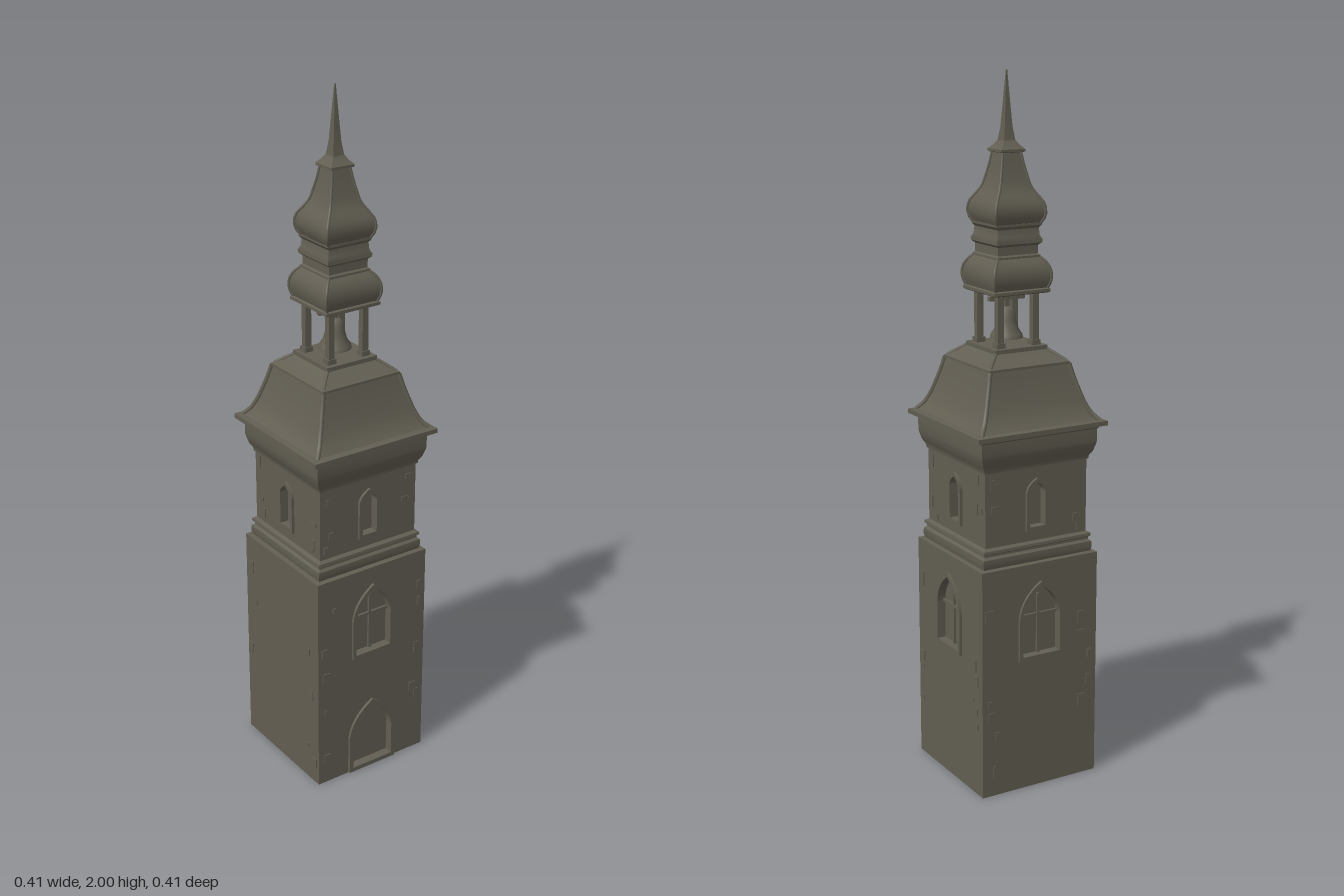
import * as THREE from 'three';
import { toCreasedNormals } from 'three/addons/utils/BufferGeometryUtils.js';

const stone = new THREE.MeshStandardMaterial({ color: 0x625e52, side: THREE.DoubleSide });
stone.name = 'weathered stone';

function add(parent, name, geometry, x = 0, y = 0, z = 0) {
  const mesh = new THREE.Mesh(geometry, stone);
  mesh.name = name;
  mesh.position.set(x, y, z);
  parent.add(mesh);
  return mesh;
}

const box = (w, h, d) => new THREE.BoxGeometry(w, h, d);

// Square tower section from a profile of [half width, height], bottom to top
function squareSection(profile) {
  const pts = profile.map(([r, y]) => new THREE.Vector2(r * Math.SQRT2, y));
  const g = new THREE.LatheGeometry(pts, 4).rotateY(Math.PI / 4);
  return toCreasedNormals(g, 0.6);
}

// Raised ridges on the four corners of a curved roof
function hipRidges(parent, name, profile, radius) {
  const group = new THREE.Group();
  group.name = name;
  for (const sx of [-1, 1]) for (const sz of [-1, 1]) {
    const curve = new THREE.CatmullRomCurve3(
      profile.map(([r, y]) => new THREE.Vector3(sx * r, y, sz * r)));
    add(group, 'ridge', new THREE.TubeGeometry(curve, 14, radius, 6));
  }
  parent.add(group);
}

// Pointed arch outline
function arch(w, y0, spring, apex, Type = THREE.Shape) {
  const s = new Type();
  const k = spring + (apex - spring) * 0.6;
  s.moveTo(-w, y0);
  s.lineTo(w, y0);
  s.lineTo(w, spring);
  s.quadraticCurveTo(w * 0.92, k, 0, apex);
  s.quadraticCurveTo(-w * 0.92, k, -w, spring);
  s.closePath();
  return s;
}

const extrude = (shape, depth) =>
  new THREE.ExtrudeGeometry(shape, { depth, bevelEnabled: false, curveSegments: 8 });

// One wall facing +z, with framed, recessed openings
function wall(name, half, y0, y1, openings) {
  const group = new THREE.Group();
  group.name = name;
  const s = new THREE.Shape();
  s.moveTo(-half, y0);
  s.lineTo(half, y0);
  s.lineTo(half, y1);
  s.lineTo(-half, y1);
  s.closePath();
  for (const o of openings) {
    const inner = [o.w - o.trim, o.y0 + o.trim, o.spring, o.apex - o.trim * 1.2];
    s.holes.push(arch(...inner, THREE.Path));
    const frame = arch(o.w, o.y0, o.spring, o.apex);
    frame.holes.push(arch(...inner, THREE.Path));
    add(group, o.name + 'Frame', extrude(frame, 0.01), 0, 0, half - 0.002);
    add(group, o.name + 'Panel', new THREE.ShapeGeometry(arch(...inner)), 0, 0, half - 0.018);
    if (o.cross) {
      const h = o.spring - o.y0;
      add(group, 'crossBar', box(o.w * 1.8, 0.008, 0.008), 0, o.spring, half - 0.015);
      add(group, 'mullion', box(0.008, h * 1.5, 0.008), 0, o.y0 + h * 0.75, half - 0.015);
    }
  }
  add(group, 'masonry', extrude(s, 0.02), 0, 0, half - 0.02);
  return group;
}

// Small thin plaster patches near the wall edges
let seed = 7;
const rand = () => (seed = (seed * 16807) % 2147483647) / 2147483647;
function patches(parent, half, y0, y1, count) {
  for (let i = 0; i < count; i++) {
    const side = i % 2 ? 1 : -1;
    const x = side * half * (0.7 + rand() * 0.2);
    const y = y0 + (y1 - y0) * (0.08 + 0.84 * rand());
    add(parent, 'plasterPatch',
      box(0.008 + rand() * 0.018, 0.01 + rand() * 0.03, 0.004), x, y, half + 0.001);
  }
}

export function createModel() {
  const tower = new THREE.Group();
  tower.name = 'bellTower';

  // Lower and upper storeys, one wall per side: front, left, back, right
  const door = { name: 'door', w: 0.082, y0: 0.002, spring: 0.12, apex: 0.232, trim: 0.013 };
  const bigWindow = { name: 'archedWindow', w: 0.071, y0: 0.39, spring: 0.515, apex: 0.618, trim: 0.011, cross: true };
  const slit = { name: 'slitWindow', w: 0.035, y0: 0.76, spring: 0.87, apex: 0.91, trim: 0.011 };
  const sides = [[door, bigWindow], [bigWindow], [bigWindow], []];
  sides.forEach((openings, i) => {
    const lower = wall('lowerWall', 0.187, 0, 0.67, openings);
    const upper = wall('upperWall', 0.163, 0.725, 0.95, [slit]);
    patches(lower, 0.187, 0, 0.67, 10);
    patches(upper, 0.163, 0.73, 0.94, 6);
    for (const w of [lower, upper]) {
      w.rotation.y = i * Math.PI / 2;
      tower.add(w);
    }
  });

  // Mouldings between the storeys and below the roof
  add(tower, 'stringCourse', squareSection([
    [0.187, 0.67], [0.173, 0.672], [0.176, 0.685], [0.175, 0.7], [0.168, 0.706],
    [0.168, 0.712], [0.174, 0.716], [0.173, 0.724], [0.162, 0.73]]));
  add(tower, 'cornice', squareSection([
    [0.16, 0.94], [0.167, 0.942], [0.168, 0.952], [0.176, 0.965], [0.182, 0.985],
    [0.184, 0.995], [0.184, 1.03], [0.188, 1.034], [0.188, 1.04]]));
  add(tower, 'eaves', squareSection([
    [0.18, 1.036], [0.205, 1.04], [0.205, 1.053], [0.185, 1.056]]));

  // Flared lower roof with its shoulder and platform
  const flare = [[0.187, 1.055], [0.17, 1.075], [0.156, 1.105], [0.143, 1.145],
    [0.133, 1.18], [0.126, 1.21]];
  add(tower, 'lowerRoof', squareSection(flare));
  hipRidges(tower, 'lowerRoofRidges', flare, 0.007);
  add(tower, 'roofShoulder', squareSection([
    [0.12, 1.207], [0.128, 1.209], [0.128, 1.216], [0.122, 1.219], [0.082, 1.248]]));
  hipRidges(tower, 'shoulderRidges', [[0.122, 1.217], [0.102, 1.233], [0.082, 1.248]], 0.005);
  add(tower, 'belfryFloor', box(0.166, 0.014, 0.166), 0, 1.252, 0);

  // Open belfry with four corner posts
  for (const x of [-0.056, 0.056]) for (const z of [-0.056, 0.056]) {
    add(tower, 'belfryPost', box(0.019, 0.155, 0.019), x, 1.333, z);
    add(tower, 'postFoot', box(0.026, 0.016, 0.026), x, 1.265, z);
  }
  const bellProfile = [[0.046, 1.275], [0.044, 1.285], [0.034, 1.3], [0.027, 1.325],
    [0.024, 1.345], [0.016, 1.36], [0, 1.364]].map(p => new THREE.Vector2(...p));
  add(tower, 'bell', new THREE.LatheGeometry(bellProfile, 24));
  add(tower, 'bellHanger', box(0.012, 0.025, 0.012), 0, 1.372, 0);
  add(tower, 'bellBeam', box(0.112, 0.012, 0.014), 0, 1.386, 0);

  // Bell-shaped canopy
  const canopy = [[0.082, 1.418], [0.088, 1.435], [0.09, 1.455], [0.086, 1.475],
    [0.077, 1.491], [0.066, 1.503]];
  add(tower, 'canopyLedge', squareSection([
    [0, 1.405], [0.083, 1.405], [0.088, 1.408], [0.088, 1.416], [0.08, 1.42]]));
  add(tower, 'canopy', squareSection(canopy));
  hipRidges(tower, 'canopyRidges', canopy, 0.004);

  // Neck mouldings
  add(tower, 'neck', squareSection([
    [0.068, 1.502], [0.068, 1.508], [0.063, 1.512], [0.063, 1.535], [0.071, 1.542],
    [0.072, 1.55], [0.066, 1.562], [0.064, 1.582], [0.07, 1.59], [0.07, 1.596]]));

  // Onion roof with concave upper part
  const onion = [[0.068, 1.596], [0.076, 1.612], [0.078, 1.632], [0.073, 1.652],
    [0.06, 1.672], [0.048, 1.693], [0.041, 1.72], [0.034, 1.75], [0.028, 1.785]];
  add(tower, 'onionRoof', squareSection(onion));
  hipRidges(tower, 'onionRidges', onion, 0.004);

  // Spire on its small cap
  add(tower, 'spireCap', squareSection([
    [0.026, 1.782], [0.037, 1.785], [0.037, 1.792], [0.026, 1.803], [0.018, 1.815]]));
  add(tower, 'spire', squareSection([
    [0.018, 1.812], [0.012, 1.85], [0.007, 1.92], [0.0015, 2]]));
  return tower;
}
